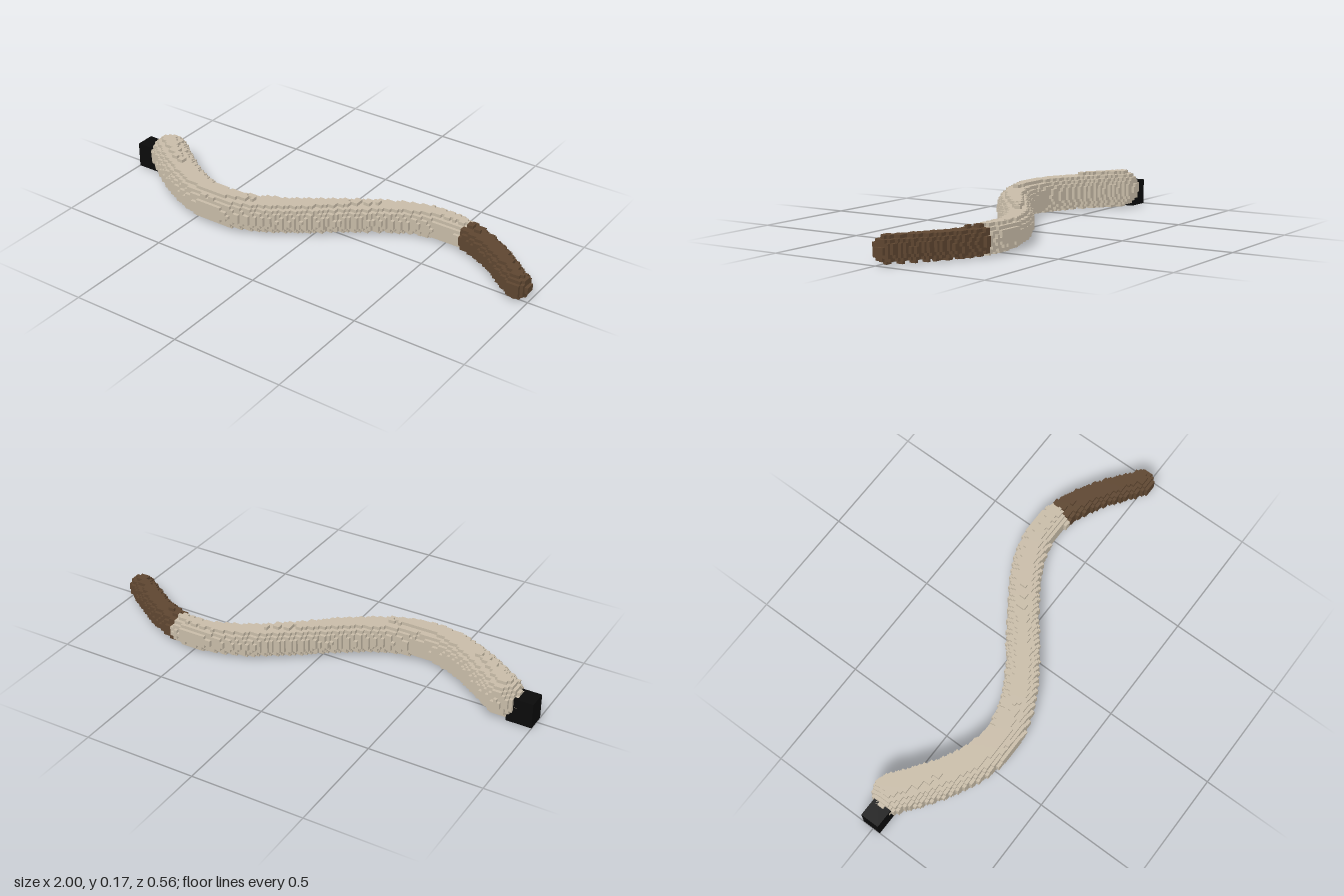
import * as THREE from 'three';

const V = 1 / 70; // edge length of one voxel
const NX = 140, NY = 13, NZ = 45; // grid size, centred on x and z

// Tapering balls strung along a horizontal wave, measured in voxels
function bodyBalls() {
  const balls = [], count = 44;
  for (let i = 0; i <= count; i++) {
    const x = -0.848 + (i / count) * 1.79;
    const top = 10.05 - 2.27 * x, bottom = 0.35;
    balls.push({
      x: x / V,
      y: (top + bottom) / 2,
      z: -0.5 - 15 * Math.sin((2 * Math.PI * (x - 0.05)) / 1.8),
      r: (top - bottom) / 2,
      kind: x > 0.585 ? 2 : 1,
    });
  }
  return balls;
}

// Fill the grid: 0 empty, 1 pale body, 2 dark end
function fillGrid() {
  const grid = new Uint8Array(NX * NY * NZ);
  const balls = bodyBalls();
  for (let i = 0; i < NX; i++) for (let j = 0; j < NY; j++) for (let k = 0; k < NZ; k++) {
    let best = 1;
    for (const b of balls) {
      const d = Math.hypot(i + 0.5 - NX / 2 - b.x, j + 0.5 - b.y, k + 0.5 - NZ / 2 - b.z) / b.r;
      if (d <= best) {
        best = d;
        grid[(i * NY + j) * NZ + k] = b.kind;
      }
    }
  }
  return (i, j, k) =>
    i < 0 || j < 0 || k < 0 || i >= NX || j >= NY || k >= NZ ? 0 : grid[(i * NY + j) * NZ + k];
}

// Outer faces of all voxels of one kind
function voxelGeometry(cell, kind) {
  const pos = [], nor = [], idx = [];
  for (let i = 0; i < NX; i++) for (let j = 0; j < NY; j++) for (let k = 0; k < NZ; k++) {
    if (cell(i, j, k) !== kind) continue;
    for (let axis = 0; axis < 3; axis++) for (const s of [1, -1]) {
      const n = [0, 0, 0];
      n[axis] = s;
      if (cell(i + n[0], j + n[1], k + n[2])) continue;
      const u = (axis + 1) % 3, w = (axis + 2) % 3, a = pos.length / 3;
      for (const [du, dw] of [[0, 0], [1, 0], [1, 1], [0, 1]]) {
        const p = [i, j, k];
        if (s > 0) p[axis] += 1;
        p[u] += du;
        p[w] += dw;
        pos.push((p[0] - NX / 2) * V, p[1] * V, (p[2] - NZ / 2) * V);
        nor.push(...n);
      }
      if (s > 0) idx.push(a, a + 1, a + 2, a, a + 2, a + 3);
      else idx.push(a, a + 2, a + 1, a, a + 3, a + 2);
    }
  }
  const g = new THREE.BufferGeometry();
  g.setAttribute('position', new THREE.Float32BufferAttribute(pos, 3));
  g.setAttribute('normal', new THREE.Float32BufferAttribute(nor, 3));
  g.setIndex(idx);
  return g;
}

export function createModel() {
  const group = new THREE.Group();
  group.name = 'wavyBody';
  const material = (name, color) => {
    const m = new THREE.MeshStandardMaterial({ color });
    m.name = name;
    return m;
  };
  const add = (name, geometry, mat) => {
    const mesh = new THREE.Mesh(geometry, mat);
    mesh.name = name;
    group.add(mesh);
    return mesh;
  };

  // Wavy body and its dark tapered end
  const cell = fillGrid();
  add('body', voxelGeometry(cell, 1), material('paleBeige', 0xc8bca8));
  add('darkEnd', voxelGeometry(cell, 2), material('darkBrown', 0x5e4630));

  // Black block at the thick end
  const block = add('endBlock', new THREE.BoxGeometry(8 * V, 8 * V, 6 * V), material('black', 0x0a0a0a));
  block.position.set(-1 + 4 * V, 4 * V, -0.5 * V);
  return group;
}
